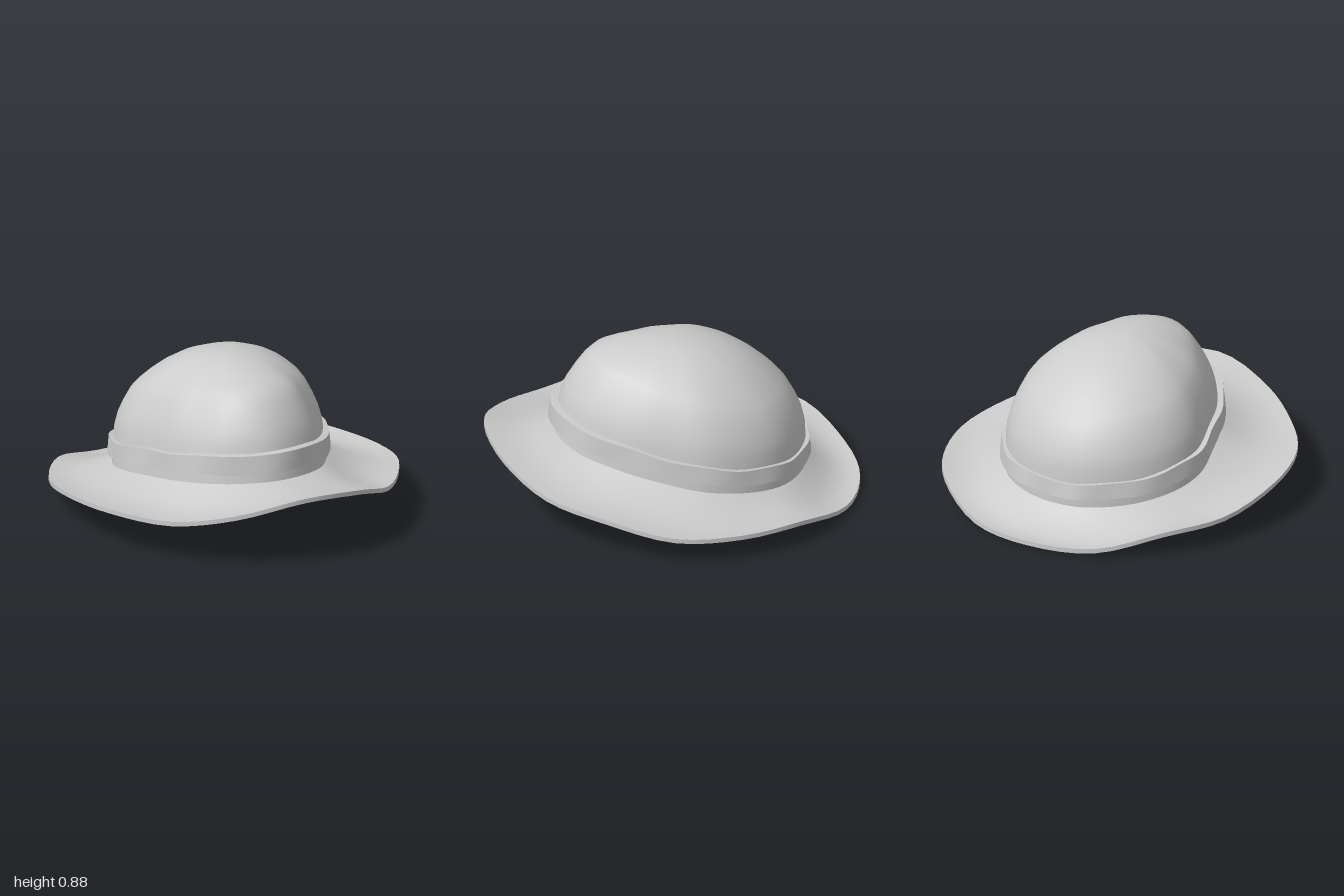
import * as THREE from 'three';
import { toCreasedNormals } from 'three/addons/utils/BufferGeometryUtils.js';

const SEG = 64;
const V = (x, y, z) => new THREE.Vector3(x, y, z);
const loop = pts => new THREE.CatmullRomCurve3(pts.map(p => V(...p)), true, 'centripetal');

// Wavy outer edge of the brim, from the front round by the left side
const rim = loop([
  [0, .375, 1], [.37, .335, .9], [.62, .24, .68], [.82, .2, .36],
  [.94, .15, 0], [.88, .135, -.36], [.7, .125, -.68], [.37, .04, -.92],
  [0, .026, -1], [-.37, .035, -.93], [-.68, .12, -.72], [-.87, .14, -.42],
  [-.94, .2, -.02], [-.86, .225, .36], [-.64, .23, .68], [-.36, .295, .9],
]);

// Egg-shaped head outline
const head = loop([
  [0, 0, .66], [.28, 0, .55], [.44, 0, .32], [.53, 0, .08],
  [.575, 0, -.17], [.52, 0, -.4], [.39, 0, -.59], [.2, 0, -.7],
  [0, 0, -.74], [-.2, 0, -.71], [-.41, 0, -.58], [-.55, 0, -.38],
  [-.59, 0, -.17], [-.53, 0, .08], [-.44, 0, .33], [-.26, 0, .56],
]);

const headRing = (u, s, cz = -.04) => {
  const p = head.getPoint(u);
  return V(p.x * s, 0, cz + (p.z + .04) * s);
};
const baseY = z => .25 + .15 * z;
const shoulderY = z => .705 + .19 * z;

// Skin between rings; each ring is a function of u in 0..1
function loft(rings, crease) {
  const pos = [], idx = [];
  for (const ring of rings)
    for (let j = 0; j < SEG; j++) pos.push(...ring(j / SEG).toArray());
  for (let i = 0; i < rings.length - 1; i++)
    for (let j = 0; j < SEG; j++) {
      const k = (j + 1) % SEG;
      const a = i * SEG + j, b = i * SEG + k, c = a + SEG, d = b + SEG;
      idx.push(a, c, b, b, c, d);
    }
  const g = new THREE.BufferGeometry();
  g.setAttribute('position', new THREE.Float32BufferAttribute(pos, 3));
  g.setIndex(idx);
  return toCreasedNormals(g, crease);
}

// Crown wall: t = 0 at the brim, 1 at the shoulder; inset gives the lining
function wall(t, s, inset) {
  return u => {
    const p = headRing(u, s - inset, -.04 - .035 * t);
    // soft finger dents either side of the front
    const side = Math.min(u, 1 - u);
    const dent = 1 - .06 * Math.exp(-(((side - .1) / .035) ** 2)) * t * t;
    p.x *= dent;
    p.z *= dent;
    const z0 = head.getPoint(u).z;
    const top = shoulderY(z0 * .73 - .04) - inset;
    p.y = THREE.MathUtils.lerp(baseY(z0), top, t);
    return p;
  };
}

// Domed top: f = 1 at the shoulder, 0 at the peak
function dome(f, inset) {
  const edge = wall(1, .73, inset);
  return u => {
    const e = edge(u), peak = V(0, .87 - inset, .02);
    const p = peak.clone().lerp(e, f);
    p.y = e.y + (peak.y - e.y) * (1 - f ** 2.3);
    return p;
  };
}

// Brim: k = 0 at the crown, 1 at the rim; drop gives the underside
function brim(k, s, drop) {
  return u => {
    const a = headRing(u, s), r = rim.getPoint(u);
    const y0 = baseY(head.getPoint(u).z);
    const y = r.y + (y0 - r.y) * (1 - k) ** 1.5 - .025 * Math.sin(Math.PI * k);
    return V(a.x + (r.x - a.x) * k, y - drop, a.z + (r.z - a.z) * k);
  };
}

export function createModel() {
  const mat = new THREE.MeshStandardMaterial({ color: 0xcccccc, side: THREE.DoubleSide });
  const hat = new THREE.Group();
  hat.name = 'hat';
  const add = (name, geo) => {
    const m = new THREE.Mesh(geo, mat);
    m.name = name;
    hat.add(m);
  };

  const domeSteps = [0, .2, .4, .6, .75, .88];
  const wallSteps = [[1, .73], [.9, .79], [.75, .85], [.6, .9], [.45, .93], [.2, .95], [0, .96]];
  const brimSteps = [0, .12, .25, .4, .55, .7, .85, 1];

  // Crown outside
  add('crown', loft([
    ...domeSteps.map(f => dome(f, 0)),
    ...wallSteps.map(([t, s]) => wall(t, s, 0)),
  ], .7));

  // Brim top, edge and underside
  add('brim', loft([
    ...brimSteps.map(k => brim(k, .96, 0)),
    ...[...brimSteps].reverse().map(k => brim(k, .86, .025)),
  ], .7));

  // Lining inside the crown, running down to the opening
  add('lining', loft([
    brim(0, .86, .025),
    ...[...wallSteps].reverse().slice(1).map(([t, s]) => wall(t, s, .04)),
    ...[...domeSteps].reverse().map(f => dome(f, .03)),
  ], .7));

  // Hat band: a closed, slightly wavy strip round the crown
  const bandRing = (s, top) => u => {
    const p = headRing(u, s + .008 * Math.sin(u * Math.PI * 22) * top);
    const z = head.getPoint(u).z;
    const wave = .004 * Math.sin(u * Math.PI * 18);
    p.y = (top ? .4 + .17 * z : .305 + .152 * z) + wave;
    return p;
  };
  add('hatBand', loft([
    bandRing(.92, 1), bandRing(.965, 1), bandRing(.985, 1),
    bandRing(1, 0), bandRing(.92, 0), bandRing(.92, 1),
  ], .6));

  return hat;
}
